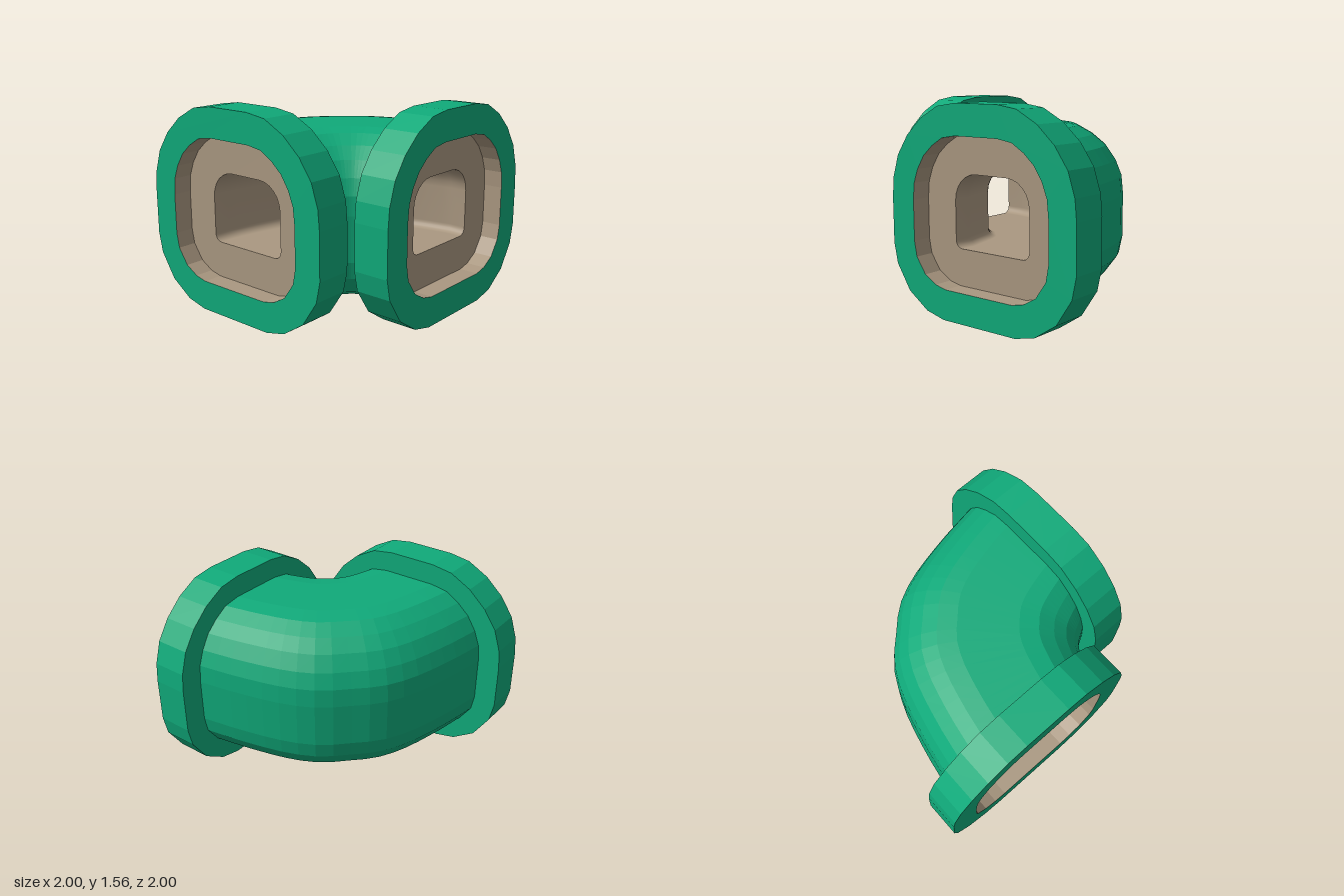
import * as THREE from 'three';

const green = new THREE.MeshStandardMaterial({ color: 0x10aa7a });
green.name = 'pipe green';
const tan = new THREE.MeshStandardMaterial({ color: 0xaa9881 });
tan.name = 'inner tan';

const OFFSET = -0.157; // sideways centre of each opening
const FACE = 1, BACK = 0.72, FLOOR = 0.85; // depths of the flange

// Mirror a top-to-bottom half outline [u, y] into a closed loop
const mirror = (half) => [...half, ...half.map(([u, y]) => [-u, y]).reverse()];

const rimLoop = mirror([[0.19, 1.56], [0.36, 1.535], [0.53, 1.445], [0.67, 1.32], [0.775, 1.17], [0.83, 1.0],
  [0.843, 0.85], [0.843, 0.505], [0.81, 0.35], [0.685, 0.16], [0.505, 0.04], [0.335, 0]]);
const recessLoop = mirror([[0.195, 1.335], [0.32, 1.315], [0.42, 1.255], [0.505, 1.18], [0.57, 1.08], [0.61, 0.975],
  [0.622, 0.85], [0.622, 0.545], [0.6, 0.43], [0.515, 0.31], [0.41, 0.25], [0.31, 0.228]]);
const bodyLoop = recessLoop.map(([u, y]) => [u * 1.1, 0.78 + (y - 0.78) * 1.105]);

// Small opening: wide round corners on top, tight ones below
const arc = (cu, cy, r, from, to) => Array.from({ length: 7 }, (_, i) => {
  const a = from + (to - from) * i / 6;
  return [cu + r * Math.cos(a), cy + r * Math.sin(a)];
});
const holeLoop = mirror([
  ...arc(0.1425, 0.855, 0.2, Math.PI / 2, 0),
  ...arc(0.2825, 0.565, 0.06, 0, -Math.PI / 2),
]);

// Skin a row of matching closed loops of [x, y, z]
function loft(loops, { flat = true, inward = false } = {}) {
  const n = loops[0].length, index = [];
  for (let s = 0; s < loops.length - 1; s++) {
    for (let i = 0; i < n; i++) {
      const a = s * n + i, b = s * n + (i + 1) % n, c = a + n, d = b + n;
      index.push(...(inward ? [a, c, b, b, c, d] : [a, b, c, b, d, c]));
    }
  }
  let geo = new THREE.BufferGeometry();
  geo.setAttribute('position', new THREE.Float32BufferAttribute(loops.flat(2), 3));
  geo.setIndex(index);
  if (flat) geo = geo.toNonIndexed();
  geo.computeVertexNormals();
  return geo;
}

const atDepth = (loop, z) => loop.map(([u, y]) => [u, y, z]);

// Flat plate with a cut-out
function plate(outer, hole) {
  const shape = new THREE.Shape(outer.map(([u, y]) => new THREE.Vector2(u, y)));
  shape.holes.push(new THREE.Path(hole.map(([u, y]) => new THREE.Vector2(u, y))));
  return new THREE.ShapeGeometry(shape);
}

function add(parent, name, geo, material) {
  const mesh = new THREE.Mesh(geo, material);
  mesh.name = name;
  parent.add(mesh);
  return mesh;
}

// Flange with a recessed mouth, centred on its own axis
function makeFlange(name) {
  const g = new THREE.Group();
  g.name = name;
  add(g, 'flangeRim', loft([atDepth(rimLoop, FACE), atDepth(rimLoop, BACK)]), green);
  add(g, 'flangeFace', plate(rimLoop, recessLoop), green).position.z = FACE;
  const back = add(g, 'flangeBack', plate(rimLoop, recessLoop), green);
  back.position.z = BACK;
  back.rotation.y = Math.PI;
  add(g, 'recessWall', loft([atDepth(recessLoop, FACE), atDepth(recessLoop, FLOOR)], { inward: true }), tan);
  add(g, 'recessFloor', plate(recessLoop, holeLoop), tan).position.z = FLOOR;
  return g;
}

// Plan curves [x, z] of the bend; the second half swaps x and z
const planCurve = (half, mid) => new THREE.CatmullRomCurve3(
  [...half, mid, ...half.map(([x, z]) => [z, x]).reverse()].map(([x, z]) => new THREE.Vector3(x, 0, z)));
const outerCurve = planCurve([[-0.82, 0.72], [-0.765, 0.4], [-0.66, 0], [-0.55, -0.22]], [-0.4, -0.38]);
const innerCurve = planCurve([[0.545, 0.72]], [0.615, 0.615]);

// Sweep an outline round the bend, u pointing to the inside of the turn
function bendLoops(loop, steps, halfWidth, shift = 0) {
  return Array.from({ length: steps + 1 }, (_, s) => {
    const o = outerCurve.getPointAt(s / steps), i = innerCurve.getPointAt(s / steps);
    const centre = o.clone().add(i).multiplyScalar(0.5);
    const across = i.clone().sub(o);
    const stretch = halfWidth ? across.length() / 2 / halfWidth : 1;
    across.normalize();
    return loop.map(([u, y]) => {
      const k = u * stretch + shift;
      return [centre.x + across.x * k, y, centre.z + across.z * k];
    });
  });
}

export function createModel() {
  const model = new THREE.Group();
  model.name = 'pipeElbow';

  const front = makeFlange('frontFlange');
  front.position.x = OFFSET;
  const side = makeFlange('sideFlange');
  side.rotation.y = Math.PI / 2;
  side.position.z = OFFSET;
  model.add(front, side);

  // Curved outer shell
  add(model, 'elbowBody', loft(bendLoops(bodyLoop, 18, 0.684)), green);

  // Passage from one mouth to the other
  const tunnel = [
    holeLoop.map(([u, y]) => [u + OFFSET, y, FLOOR]),
    ...bendLoops(holeLoop, 24, 0, -0.02),
    holeLoop.map(([u, y]) => [FLOOR, y, u + OFFSET]),
  ];
  add(model, 'passage', loft(tunnel, { flat: false, inward: true }), tan);
  return model;
}
